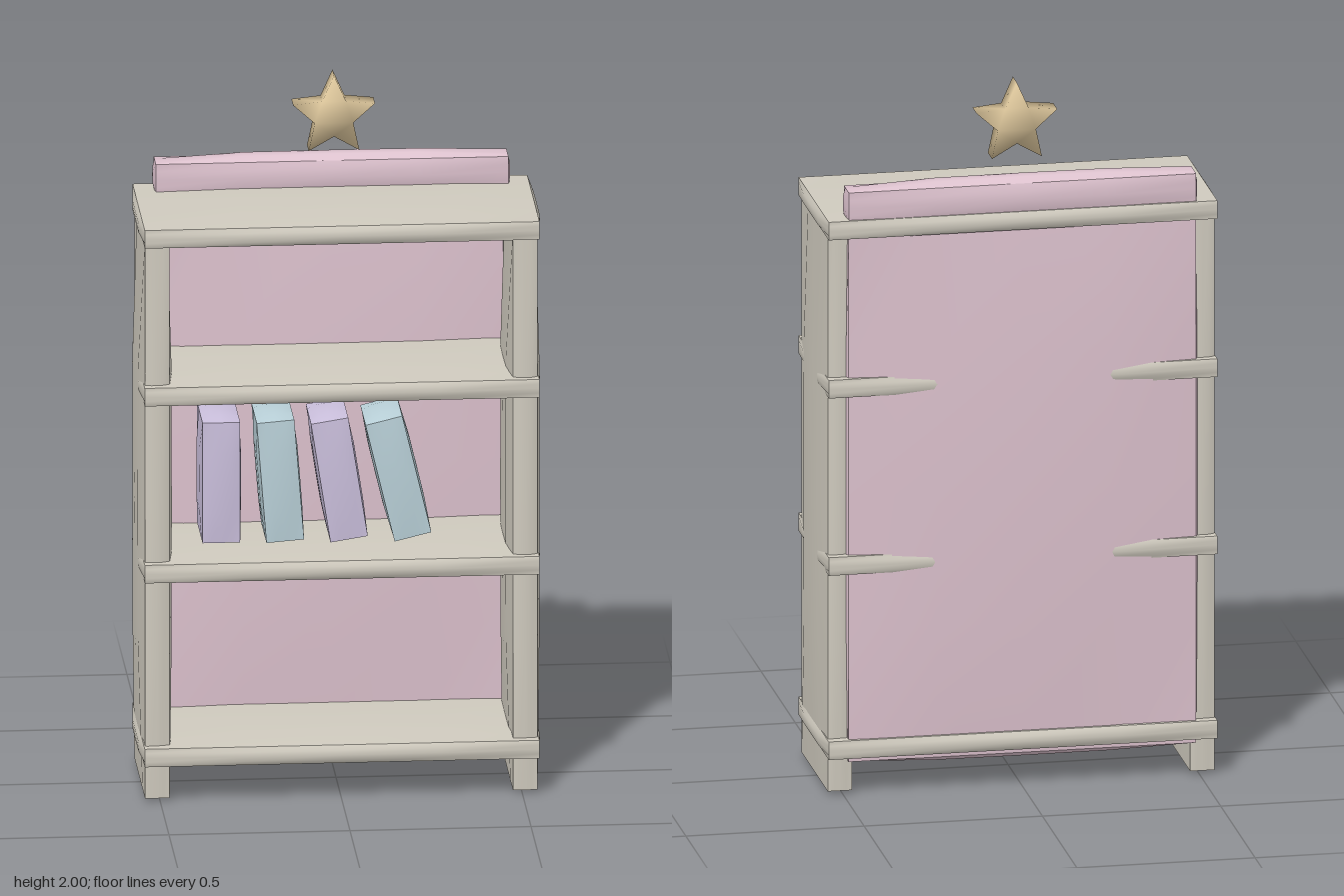
import * as THREE from 'three';
import { mergeVertices } from 'three/addons/utils/BufferGeometryUtils.js';

const material = (name, color) => {
  const m = new THREE.MeshStandardMaterial({ color });
  m.name = name;
  return m;
};

// Soft, pillow-like box: each face swells outwards, fading to nothing at its edges
function pillowBox(half, bulge) {
  const geo = new THREE.BoxGeometry(2, 2, 2, 4, 4, 4);
  const pos = geo.attributes.position;
  const fade = (t) => 1 - t ** 4;
  for (let i = 0; i < pos.count; i++) {
    const x = pos.getX(i), y = pos.getY(i), z = pos.getZ(i);
    pos.setXYZ(i,
      x * (half[0] + bulge[0] * fade(y) * fade(z)),
      y * (half[1] + bulge[1] * fade(x) * fade(z)),
      z * (half[2] + bulge[2] * fade(x) * fade(y)));
  }
  geo.computeVertexNormals();
  return geo;
}

// Five-pointed star plate with softened shading
function starGeometry(outer, inner, depth) {
  const points = [];
  for (let i = 0; i < 10; i++) {
    const r = i % 2 ? inner : outer;
    const a = Math.PI / 2 + (i * Math.PI) / 5;
    points.push(new THREE.Vector2(r * Math.cos(a), r * Math.sin(a)));
  }
  let geo = new THREE.ExtrudeGeometry(new THREE.Shape(points), { depth, bevelEnabled: false });
  geo.translate(0, 0, -depth / 2);
  geo.deleteAttribute('uv');
  geo.deleteAttribute('normal');
  geo = mergeVertices(geo, 1e-4);
  geo.computeVertexNormals();
  return geo;
}

export function createModel() {
  const group = new THREE.Group();
  group.name = 'bookcase';
  const cream = material('warm cream', 0xcfcabe);
  const pink = material('dusty pink', 0xddc2ce);
  const lilac = material('lilac', 0xcabfdc);
  const blue = material('pale blue', 0xb9d0d8);
  const gold = material('soft gold', 0xd8c298);

  const add = (name, geo, mat, x, y, z, tilt = 0) => {
    const mesh = new THREE.Mesh(geo, mat);
    mesh.name = name;
    mesh.position.set(x, y, z);
    mesh.rotation.z = tilt;
    group.add(mesh);
  };

  // Side panels, reaching the floor as feet
  const side = pillowBox([0.034, 0.81, 0.19], [0.014, 0.01, 0.008]);
  add('leftSide', side, cream, 0.508, 0.82, 0);
  add('rightSide', side, cream, -0.508, 0.82, 0);

  // Shelves
  const shelf = pillowBox([0.545, 0.026, 0.219], [0.01, 0.008, 0.011]);
  [0.135, 0.665, 1.175, 1.63].forEach((y, i) => add(`shelf${i + 1}`, shelf, cream, 0, y, 0));

  // Back panel and crest board
  add('backPanel', pillowBox([0.487, 0.765, 0.018], [0.006, 0.012, 0.024]), pink, 0, 0.862, -0.19);
  add('crestBoard', pillowBox([0.487, 0.045, 0.037], [0.006, 0.015, 0.009]), pink, 0, 1.69, -0.175);

  // Books, each leaning a little more than the last
  const book = pillowBox([0.052, 0.173, 0.095], [0.006, 0.009, 0.006]);
  for (let i = 0; i < 4; i++) {
    add(`book${i + 1}`, book, i % 2 ? blue : lilac, -0.327 + i * 0.163, 0.898, 0.04, i * 0.078);
  }

  // Star hovering above the crest
  add('star', starGeometry(0.119, 0.056, 0.06), gold, 0, 1.881, -0.1);
  return group;
}
